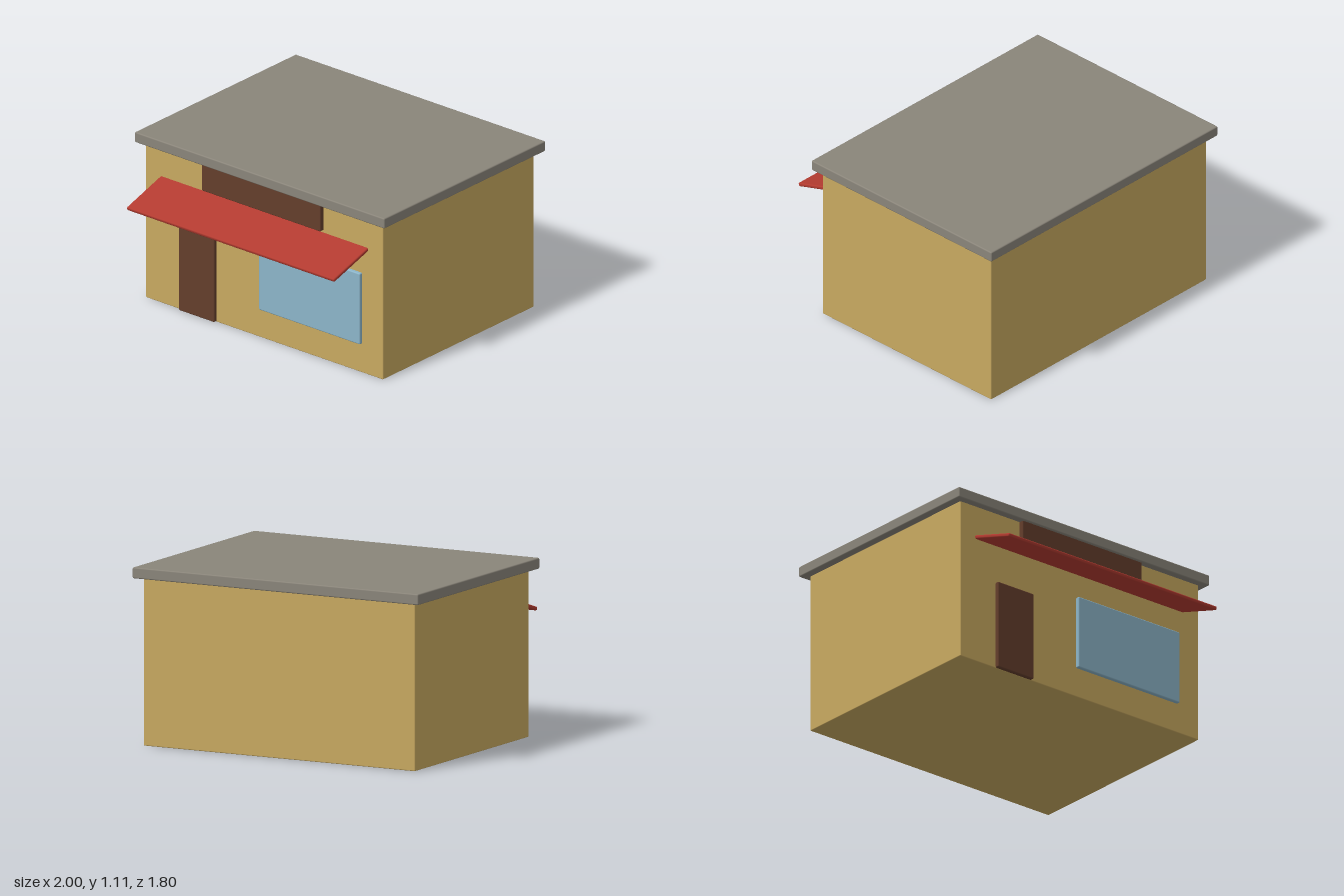
import * as THREE from 'three';
import { RoundedBoxGeometry } from 'three/addons/geometries/RoundedBoxGeometry.js';

const paint = (name, color) => {
  const m = new THREE.MeshStandardMaterial({ color });
  m.name = name;
  return m;
};

export function createModel() {
  const shop = new THREE.Group();
  shop.name = 'shop';

  const plaster = paint('ochrePlaster', 0xc8a960);
  const slate = paint('greyRoof', 0x8a857a);
  const wood = paint('darkWood', 0x643e2c);
  const glass = paint('blueGlass', 0x8cb5c9);
  const canvas = paint('redCanvas', 0xb33b30);

  // Softly bevelled box given by its extents on each axis
  const block = (name, material, [x0, x1], [y0, y1], [z0, z1], radius) => {
    const geometry = new RoundedBoxGeometry(x1 - x0, y1 - y0, z1 - z0, 2, radius);
    const mesh = new THREE.Mesh(geometry, material);
    mesh.name = name;
    mesh.position.set((x0 + x1) / 2, (y0 + y1) / 2, (z0 + z1) / 2);
    shop.add(mesh);
    return mesh;
  };

  // Building shell and overhanging flat roof
  block('walls', plaster, [-0.95, 0.95], [0, 1.05], [-0.85, 0.575], 0.006);
  block('roof', slate, [-1, 1], [1.04, 1.108], [-0.9, 0.622], 0.008);

  // Shopfront, set slightly into the front wall
  block('door', wood, [-0.668, -0.383], [0.003, 0.577], [0.555, 0.598], 0.008);
  block('window', glass, [-0.026, 0.783], [0.193, 0.668], [0.555, 0.598], 0.008);
  block('signBoard', wood, [-0.477, 0.473], [0.862, 1.05], [0.555, 0.605], 0.006);

  // Awning sloping down and away from the wall
  const awning = block('awning', canvas, [-0.832, 0.83], [0.775, 0.799], [0.557, 0.903], 0.009);
  awning.rotation.x = 0.3;

  return shop;
}
